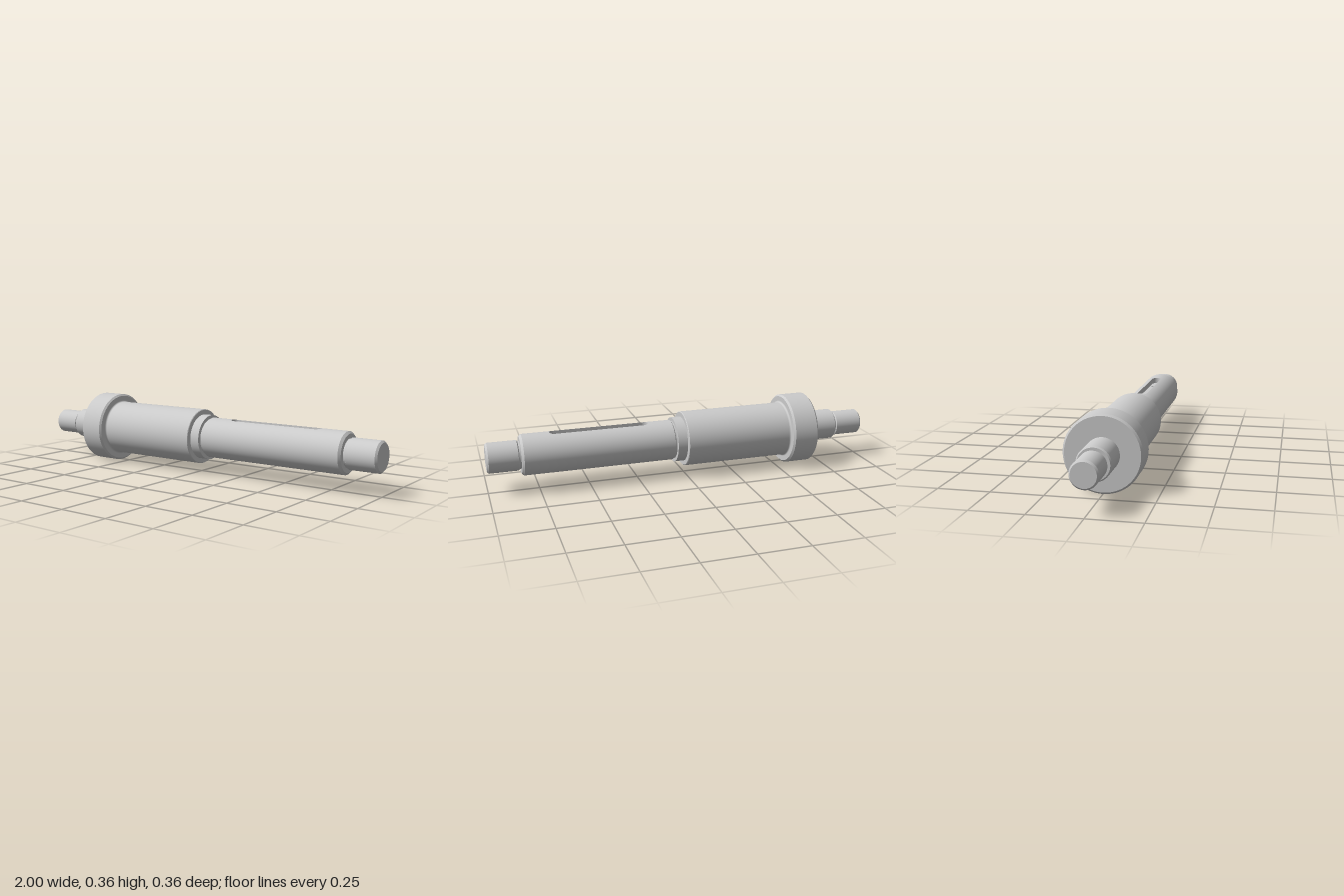
import * as THREE from 'three';
import { mergeGeometries } from 'three/addons/utils/BufferGeometryUtils.js';

const AXIS = 0.183, SEG = 96;
const R = 0.102;                       // keyed shaft radius
const K0 = 0.19, K1 = 0.69, KW = 0.025; // keyway ends and half width
const FLOOR = 0.07;                    // keyway floor height above the axis
const HOLES = [0.315, 0.57], HR = 0.014, HDEPTH = 0.05;

export function createModel() {
  const group = new THREE.Group();
  const mat = new THREE.MeshStandardMaterial({ color: 0xcccccc });
  const twoSided = new THREE.MeshStandardMaterial({ color: 0xcccccc, side: THREE.DoubleSide });

  const add = (name, geo, material = mat) => {
    const mesh = new THREE.Mesh(geo, material);
    mesh.name = name;
    mesh.position.y = AXIS;
    group.add(mesh);
  };

  // Turned part from [x, radius] points; every corner stays sharp
  const turned = (name, pts) => {
    const bands = [];
    for (let i = 0; i + 1 < pts.length; i++) {
      const pair = [pts[i], pts[i + 1]].map(([x, r]) => new THREE.Vector2(r, x));
      bands.push(new THREE.LatheGeometry(pair, SEG));
    }
    add(name, mergeGeometries(bands).rotateZ(-Math.PI / 2));
  };

  turned('rearJournal', [[-1, 0], [-1, 0.056], [-0.992, 0.064], [-0.855, 0.064],
    [-0.851, 0.058], [-0.841, 0.058]]);
  turned('rearNeck', [[-0.841, 0.058], [-0.841, 0.073], [-0.835, 0.079], [-0.685, 0.079]]);
  turned('flange', [[-0.685, 0.079], [-0.685, 0.173], [-0.676, 0.182],
    [-0.556, 0.182], [-0.547, 0.173], [-0.547, 0.149]]);

  // Rounded root where the body meets the flange
  const root = [];
  for (let i = 0; i <= 6; i++) {
    const a = i / 6 * Math.PI / 2;
    root.push(new THREE.Vector2(0.149 - 0.009 * Math.sin(a), -0.538 - 0.009 * Math.cos(a)));
  }
  add('flangeFillet', new THREE.LatheGeometry(root, SEG).rotateZ(-Math.PI / 2));

  turned('body', [[-0.538, 0.14], [0.008, 0.14], [0.011, 0.137], [0.011, 0.114]]);
  turned('collar', [[0.011, 0.114], [0.06, 0.114], [0.06, 0.096]]);
  turned('shaftStart', [[0.06, 0.096], [0.066, 0.096], [0.071, R], [K0, R]]);
  turned('shaftEnd', [[K1, R], [0.825, R], [0.836, 0.091], [0.836, 0.069]]);
  turned('frontJournal', [[0.836, 0.069], [0.844, 0.069], [0.849, 0.075],
    [0.991, 0.075], [1, 0.066], [1, 0]]);

  // Keyway outline: [x, half width] along the slot with round ends
  const outline = [];
  for (let i = 0; i <= 12; i++) {
    const a = i / 12 * Math.PI / 2;
    outline.push([K0 + KW * (1 - Math.cos(a)), KW * Math.sin(a)]);
  }
  for (let i = 12; i >= 0; i--) outline.push([K0 + K1 - outline[i][0], outline[i][1]]);

  // Grid surface from a point function
  const grid = (rows, cols, point) => {
    const pos = [], index = [];
    for (let i = 0; i <= rows; i++) {
      for (let j = 0; j <= cols; j++) {
        pos.push(...point(i, j));
        if (i < rows && j < cols) {
          const a = i * (cols + 1) + j, b = a + cols + 1;
          index.push(a, a + 1, b, b, a + 1, b + 1);
        }
      }
    }
    const geo = new THREE.BufferGeometry();
    geo.setAttribute('position', new THREE.Float32BufferAttribute(pos, 3));
    geo.setIndex(index);
    geo.computeVertexNormals();
    return geo;
  };

  // Shaft skin running round from one keyway edge to the other
  const skin = grid(outline.length - 1, SEG, (i, j) => {
    const [x, w] = outline[i];
    const a = Math.asin(w / R), t = a + (2 * Math.PI - 2 * a) * j / SEG;
    return [x, R * Math.cos(t), R * Math.sin(t)];
  });
  const p = skin.attributes.position;
  for (let i = 0; i < p.count; i++) {
    skin.attributes.normal.setXYZ(i, 0, p.getY(i) / R, p.getZ(i) / R);
  }
  add('keyedShaft', skin, twoSided);

  // Keyway walls
  for (const side of [1, -1]) {
    add('keywayWall', grid(outline.length - 1, 1, (i, j) => {
      const [x, w] = outline[i];
      return [x, j ? FLOOR : Math.sqrt(R * R - w * w), side * w];
    }), twoSided);
  }

  // Keyway floor with two screw holes
  const floor = new THREE.Shape([
    ...outline.map(([x, w]) => new THREE.Vector2(x, w)),
    ...outline.slice(1, -1).reverse().map(([x, w]) => new THREE.Vector2(x, -w)),
  ]);
  for (const x of HOLES) floor.holes.push(new THREE.Path().absarc(x, 0, HR, 0, 2 * Math.PI, true));
  add('keywayFloor', new THREE.ShapeGeometry(floor, 16).rotateX(-Math.PI / 2).translate(0, FLOOR, 0));

  for (const x of HOLES) {
    add('screwHole', new THREE.CylinderGeometry(HR, HR, HDEPTH, 32, 1, true)
      .translate(x, FLOOR - HDEPTH / 2, 0), twoSided);
    add('screwHoleBottom', new THREE.CircleGeometry(HR, 32).rotateX(-Math.PI / 2)
      .translate(x, FLOOR - HDEPTH, 0));
  }
  return group;
}
